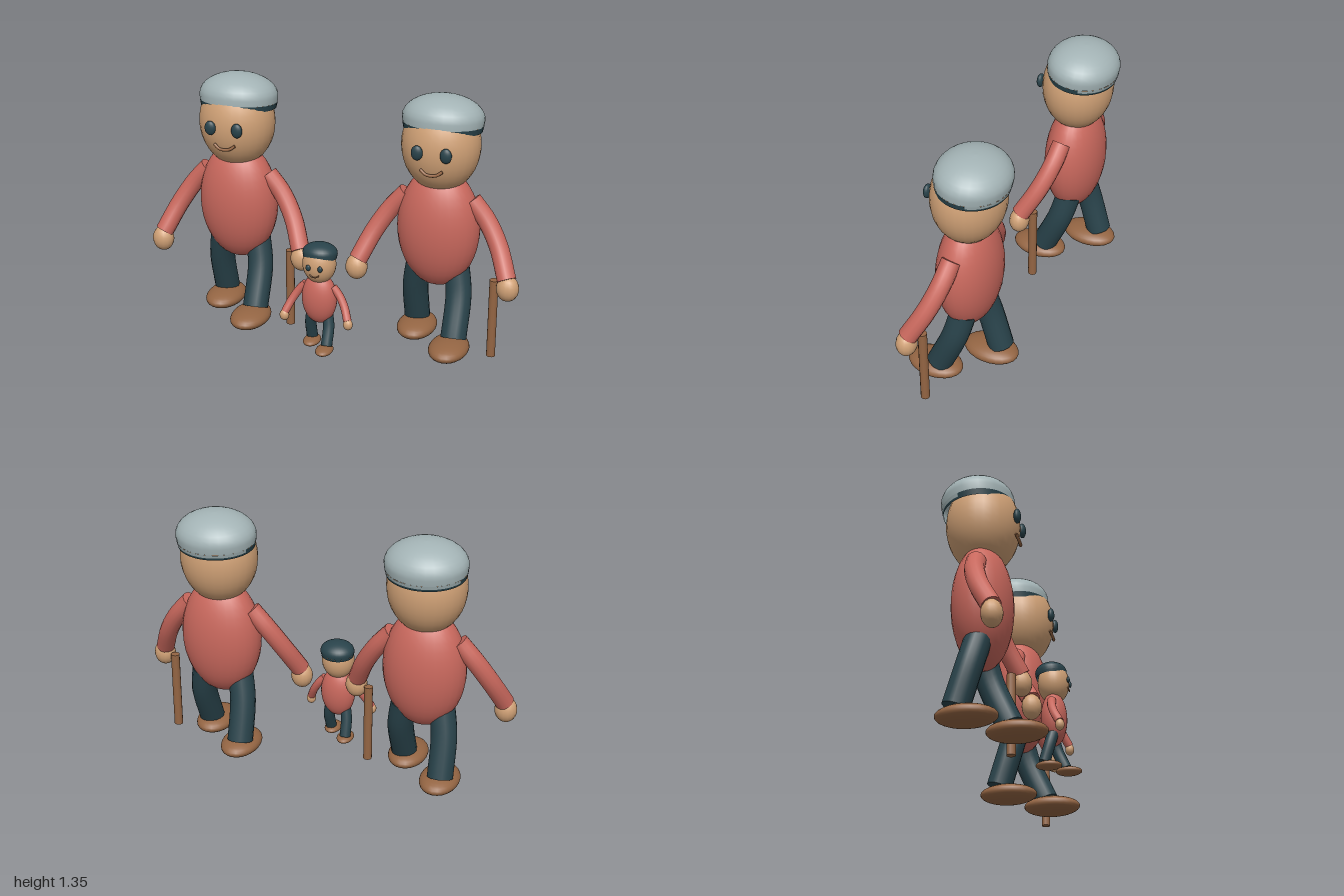
import * as THREE from 'three';
import { mergeGeometries } from 'three/addons/utils/BufferGeometryUtils.js';

const paint = (name, color) => {
  const m = new THREE.MeshStandardMaterial({ color });
  m.name = name;
  return m;
};

// Curved tube through the points, closed with flat discs
function limbGeometry(points, radius, sides = 14) {
  const curve = new THREE.CatmullRomCurve3(points.map(p => new THREE.Vector3(...p)));
  const parts = [new THREE.TubeGeometry(curve, 12, radius, sides)];
  for (const t of [0, 1]) {
    const out = curve.getTangent(t).multiplyScalar(t ? 1 : -1);
    const turn = new THREE.Quaternion().setFromUnitVectors(new THREE.Vector3(0, 0, 1), out);
    const end = curve.getPoint(t);
    parts.push(new THREE.CircleGeometry(radius, sides).applyQuaternion(turn).translate(end.x, end.y, end.z));
  }
  return mergeGeometries(parts);
}

export function createModel() {
  const red = paint('red sweater', 0xc9685d);
  const skin = paint('skin', 0xd0a176);
  const dark = paint('dark teal', 0x29434b);
  const brown = paint('brown leather', 0x946543);
  const gray = paint('gray wool', 0xa3b3b5);
  const doubleDark = dark.clone();
  for (const m of [dark, gray]) m.side = THREE.DoubleSide;
  doubleDark.dispose();

  const add = (parent, name, geometry, material) => {
    const mesh = new THREE.Mesh(geometry, material);
    mesh.name = name;
    parent.add(mesh);
    return mesh;
  };
  const ellipsoid = (parent, name, material, center, radii, w = 24, h = 16) => {
    const mesh = add(parent, name, new THREE.SphereGeometry(1, w, h), material);
    mesh.position.set(...center);
    mesh.scale.set(...radii);
    return mesh;
  };

  // Flat cap, tilted back; the band is full height only around the front
  function addCap(parent, crownMaterial) {
    const cap = new THREE.Group();
    cap.name = 'cap';
    cap.position.set(0, 1.173, -0.112);
    cap.rotation.x = -0.1;
    cap.scale.set(0.207, 1, 0.183);
    parent.add(cap);
    const ring = (name, pts, material, start = 0, length = Math.PI * 2) =>
      add(cap, name, new THREE.LatheGeometry(pts.map(p => new THREE.Vector2(...p)), 28, start, length), material);

    const crown = [[0.985, 0.03]];
    for (let i = 0; i <= 9; i++) {
      const a = (i / 9) * Math.PI / 2;
      crown.push([Math.max(Math.cos(a), 0.0001), 0.06 + 0.117 * Math.sin(a)]);
    }
    ring('crown', crown, crownMaterial);
    const front = THREE.MathUtils.degToRad(112);
    ring('frontBand', [[0.955, 0], [0.985, 0.03]], dark, -front, 2 * front);
    ring('backBand', [[0.955, 0], [0.967, 0.012]], dark, front, 2 * Math.PI - 2 * front);
    ring('crownBack', [[0.967, 0.012], [0.985, 0.03]], crownMaterial, front, 2 * Math.PI - 2 * front);
  }

  function figure(name, crownMaterial, hasCane) {
    const body = new THREE.Group();
    body.name = name;

    // Torso and head
    ellipsoid(body, 'torso', red, [0, 0.66, -0.088], [0.214, 0.32, 0.15], 28, 20);
    ellipsoid(body, 'head', skin, [0, 1.1, -0.09], [0.2, 0.24, 0.182], 28, 20);
    addCap(body, crownMaterial);

    // Smile
    const smile = [[-0.056, 1.02, 0.083], [-0.025, 1.0, 0.092], [0.025, 1.0, 0.092], [0.056, 1.02, 0.083]];
    add(body, 'mouth', limbGeometry(smile, 0.008, 8), brown);

    for (const s of [-1, 1]) {
      const side = s > 0 ? 'left' : 'right';
      ellipsoid(body, side + 'Eye', dark, [s * 0.073, 1.107, 0.092], [0.03, 0.038, 0.018], 16, 12);

      // Arm and hand
      const arm = [[s * 0.168, 0.825, -0.088], [s * 0.25, 0.73, -0.078], [s * 0.325, 0.61, -0.04], [s * 0.388, 0.47, 0.03]];
      add(body, side + 'Arm', limbGeometry(arm, 0.049), red);
      ellipsoid(body, side + 'Hand', skin, [s * 0.395, 0.428, 0.034], [0.058, 0.068, 0.052], 16, 12);

      // Striding legs: the left one is forward
      const leg = s > 0
        ? [[0.095, 0.46, -0.105], [0.122, 0.31, -0.068], [0.126, 0.1, 0.023]]
        : [[-0.095, 0.46, -0.085], [-0.122, 0.31, -0.122], [-0.126, 0.1, -0.183]];
      add(body, side + 'Leg', limbGeometry(leg, 0.067, 16), dark);
      ellipsoid(body, side + 'Shoe', brown, [s * 0.113, 0.06, s > 0 ? 0.06 : -0.135], [0.102, 0.049, 0.15]);
    }

    // Walking stick by the left hand
    if (hasCane) {
      add(body, 'cane', new THREE.CylinderGeometry(0.023, 0.023, 0.425, 12), brown).position.set(0.317, 0.233, -0.005);
    }
    return body;
  }

  const model = new THREE.Group();
  model.name = 'walkingFamily';
  for (const s of [-1, 1]) {
    const adult = figure(s > 0 ? 'leftAdult' : 'rightAdult', gray, true);
    adult.position.x = s * 0.546;
    model.add(adult);
  }

  // Small child in front, between the adults
  const child = figure('child', dark, false);
  child.scale.setScalar(0.437);
  child.position.set(-0.002, 0, 0.21);
  model.add(child);
  return model;
}
